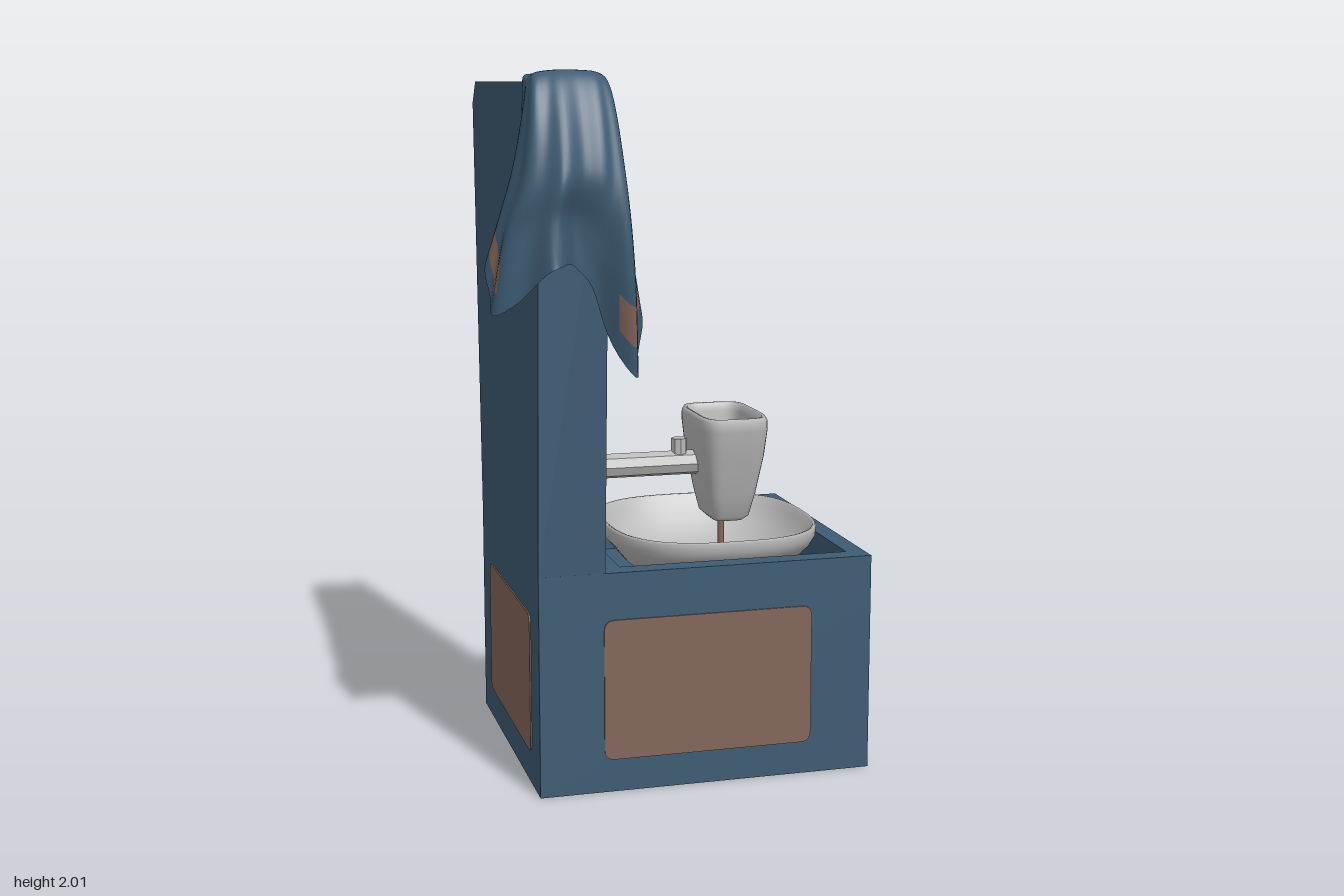
import * as THREE from 'three';

const mat = (name, color, side = THREE.FrontSide) => {
  const m = new THREE.MeshStandardMaterial({ color, side });
  m.name = name;
  return m;
};

export function createModel() {
  const model = new THREE.Group();
  const blue = mat('blue paint', 0x3e5c74);
  const brown = mat('brown panel', 0x84665b);
  const silver = mat('mirror grey', 0xaeaeae);
  const ceramic = mat('ceramic', 0xbababa);
  const cloth = [
    mat('blue cloth', 0x3e5c74, THREE.DoubleSide),
    mat('brown cloth stripe', 0x84665b, THREE.DoubleSide),
    mat('grey cloth stripe', 0xaeaeae, THREE.DoubleSide),
  ];
  const CZ = -0.0575; // centre line in z

  const add = (name, geo, material, x = 0, y = 0, z = 0) => {
    const mesh = new THREE.Mesh(geo, material);
    mesh.name = name;
    mesh.position.set(x, y, z);
    model.add(mesh);
    return mesh;
  };

  // Cabinet: solid base and a rim around the sunken counter
  add('cabinetBase', new THREE.BoxGeometry(0.975, 0.5, 0.865), blue, 0.0375, 0.25, CZ);
  const rect = (T, x0, x1, y0, y1) => new T([[x0, y0], [x1, y0], [x1, y1], [x0, y1]].map(p => new THREE.Vector2(...p)));
  const rimShape = rect(THREE.Shape, -0.45, 0.525, -0.4325, 0.4325);
  rimShape.holes.push(rect(THREE.Path, -0.205, 0.47, -0.37, 0.37));
  const rim = new THREE.ExtrudeGeometry(rimShape, { depth: 0.135, bevelEnabled: false });
  rim.rotateX(-Math.PI / 2);
  add('cabinetRim', rim, blue, 0, 0.5, CZ);

  // Tall back board, flaring upward with clipped top corners
  const half = [[0.432, 0.63], [0.498, 1.91], [0.445, 1.975]];
  const outline = [...half, ...half.map(([a, y]) => [-a, y]).reverse()];
  const board = new THREE.ExtrudeGeometry(
    new THREE.Shape(outline.map(p => new THREE.Vector2(...p))), { depth: 0.19, bevelEnabled: false });
  board.rotateY(-Math.PI / 2);
  add('backBoard', board, blue, -0.26, 0, CZ);

  // Thin rounded plates set on a face
  const plate = (name, material, w, h, r, turn, x, y, z) => {
    const s = new THREE.Shape(), a = w / 2, b = h / 2;
    s.moveTo(-a + r, -b);
    s.lineTo(a - r, -b); s.quadraticCurveTo(a, -b, a, -b + r);
    s.lineTo(a, b - r); s.quadraticCurveTo(a, b, a - r, b);
    s.lineTo(-a + r, b); s.quadraticCurveTo(-a, b, -a, b - r);
    s.lineTo(-a, -b + r); s.quadraticCurveTo(-a, -b, -a + r, -b);
    const geo = new THREE.ExtrudeGeometry(s, { depth: 0.004, bevelEnabled: false, curveSegments: 5 });
    add(name, geo, material, x, y, z).rotation.y = turn;
  };
  const Q = Math.PI / 2;
  plate('leftSidePanel', brown, 0.61, 0.405, 0.03, 0, 0.04, 0.2975, 0.375);
  plate('rightSidePanel', brown, 0.61, 0.405, 0.03, 2 * Q, 0.04, 0.2975, -0.49);
  plate('rearPanel', brown, 0.62, 0.405, 0.03, -Q, -0.45, 0.2975, -0.05);
  plate('doorPanelA', brown, 0.24, 0.455, 0.03, Q, 0.525, 0.3225, 0.16);
  plate('doorPanelB', brown, 0.24, 0.455, 0.03, Q, 0.525, 0.3225, -0.275);
  plate('mirror', silver, 0.64, 0.81, 0.035, Q, -0.26, 1.425, -0.06);
  plate('tapBackplate', silver, 0.55, 0.3, 0.03, Q, -0.26, 0.795, -0.065);

  // Parts turned around the x axis
  const rod = (name, material, rEnd, rStart, x0, x1, y, z, sides) => {
    const geo = new THREE.CylinderGeometry(rEnd, rStart, x1 - x0, sides).toNonIndexed();
    geo.rotateX(0).rotateZ(-Q);
    if (sides < 12) geo.computeVertexNormals();
    add(name, geo, material, x0 + (x1 - x0) / 2, y, z);
  };
  for (const z of [0.015, -0.11]) rod('doorKnob', brown, 0.036, 0.018, 0.525, 0.58, 0.345, z, 20);
  for (const z of [0.185, -0.29])
    for (const y of [0.92, 0.68]) rod('plateBolt', ceramic, 0.019, 0.019, -0.26, -0.243, y, z, 8);
  rod('tapFlange', ceramic, 0.075, 0.08, -0.26, -0.243, 0.85, -0.06, 8);
  rod('tapPipe', ceramic, 0.037, 0.037, -0.25, 0.13, 0.847, -0.06, 8);
  const button = new THREE.CylinderGeometry(0.024, 0.024, 0.05, 8).toNonIndexed();
  button.computeVertexNormals();
  add('tapButton', button, ceramic, 0.073, 0.897, -0.06);

  // Loft through rounded-square rings given as [y, half width x, half width z]
  const loft = (name, rings, power, x, z) => {
    const N = 64, pos = [], index = [];
    rings.forEach(([y, hx, hz], j) => {
      for (let i = 0; i < N; i++) {
        const t = (i / N) * Math.PI * 2, c = Math.cos(t), s = Math.sin(t);
        const r = (Math.abs(c) ** power + Math.abs(s) ** power) ** (-1 / power);
        pos.push(hx * r * c, y, hz * r * s);
        if (j === rings.length - 1) continue;
        const a = j * N + i, b = j * N + (i + 1) % N;
        index.push(a, a + N, b, b, a + N, b + N);
      }
    });
    const geo = new THREE.BufferGeometry();
    geo.setAttribute('position', new THREE.Float32BufferAttribute(pos, 3));
    geo.setIndex(index);
    geo.computeVertexNormals();
    add(name, geo, ceramic, x, 0, z);
  };
  loft('basin', [
    [0.5, 0.15, 0.16], [0.56, 0.25, 0.27], [0.62, 0.3, 0.322], [0.645, 0.313, 0.335], [0.67, 0.315, 0.337],
    [0.677, 0.311, 0.333], [0.675, 0.304, 0.326], [0.65, 0.295, 0.316], [0.6, 0.265, 0.285],
    [0.55, 0.2, 0.215], [0.525, 0.11, 0.12], [0.52, 0.001, 0.001],
  ], 2.7, 0.155, CZ);
  loft('spoutCup', [
    [0.675, 0.001, 0.001], [0.675, 0.045, 0.07], [0.69, 0.062, 0.088], [0.76, 0.077, 0.113], [0.88, 0.096, 0.147],
    [0.96, 0.103, 0.164], [0.988, 0.102, 0.165], [1.0, 0.096, 0.158], [0.998, 0.088, 0.147], [0.975, 0.082, 0.138],
    [0.77, 0.068, 0.118], [0.75, 0.055, 0.1], [0.748, 0.001, 0.001],
  ], 5, 0.2125, -0.055);
  add('drainStem', new THREE.CylinderGeometry(0.01, 0.01, 0.175, 12), brown, 0.205, 0.668, CZ);

  // Towel: rows run from the top of the board to the hem, columns wrap around its end
  const rows = [
    [[-.455, 1.98, .262], [-.45, 1.992, .262], [-.43, 1.996, .262], [-.39, 1.996, .262], [-.32, 1.996, .262], [-.28, 1.996, .262], [-.26, 1.992, .262], [-.253, 1.98, .262]],
    [[-.457, 1.88, .255], [-.466, 1.93, .34], [-.457, 1.97, .4], [-.4, 1.985, .405], [-.31, 1.985, .405], [-.253, 1.97, .4], [-.244, 1.92, .34], [-.253, 1.85, .23]],
    [[-.457, 1.8, .24], [-.5, 1.76, .36], [-.49, 1.74, .47], [-.41, 1.75, .53], [-.31, 1.75, .51], [-.235, 1.72, .5], [-.215, 1.7, .36], [-.253, 1.7, .2]],
    [[-.457, 1.76, .22], [-.53, 1.64, .35], [-.54, 1.56, .45], [-.43, 1.62, .53], [-.33, 1.6, .48], [-.22, 1.47, .51], [-.18, 1.53, .33], [-.253, 1.57, .165]],
    [[-.457, 1.68, .2], [-.57, 1.5, .34], [-.565, 1.37, .44], [-.43, 1.5, .56], [-.33, 1.46, .46], [-.205, 1.195, .465], [-.15, 1.35, .32], [-.253, 1.415, .13]],
  ].map(r => new THREE.CatmullRomCurve3(r.map(p => new THREE.Vector3(...p)), false, 'catmullrom', 0.5));
  const U = 70, V = 40, pos = [], faces = [[], [], []];
  const columns = [];
  for (let i = 0; i <= U; i++) columns.push(new THREE.CatmullRomCurve3(rows.map(r => r.getPoint(i / U)), false, 'catmullrom', 0.5));
  for (let j = 0; j <= V; j++) {
    for (let i = 0; i <= U; i++) {
      const u = i / U, v = j / V, p = columns[i].getPoint(v);
      // soft folds growing toward the hem
      const fold = 0.016 * v * Math.sin(u * Math.PI) * Math.sin(u * 44 + v * 1.5);
      const out = new THREE.Vector2(p.x + 0.355, p.z - 0.3).normalize();
      pos.push(p.x + out.x * fold, p.y, p.z + out.y * fold);
      if (i === U || j === V) continue;
      const a = j * (U + 1) + i, b = a + U + 1;
      const striped = v >= 0.825 && v < 0.925 && (u < 0.28 || u > 0.66);
      faces[striped ? (u > 0.87 ? 2 : 1) : 0].push(a, b, a + 1, a + 1, b, b + 1);
    }
  }
  const towel = new THREE.BufferGeometry();
  towel.setAttribute('position', new THREE.Float32BufferAttribute(pos, 3));
  towel.setIndex(faces.flat());
  let start = 0;
  faces.forEach((f, k) => { towel.addGroup(start, f.length, k); start += f.length; });
  towel.computeVertexNormals();
  add('towel', towel, cloth);

  return model;
}
